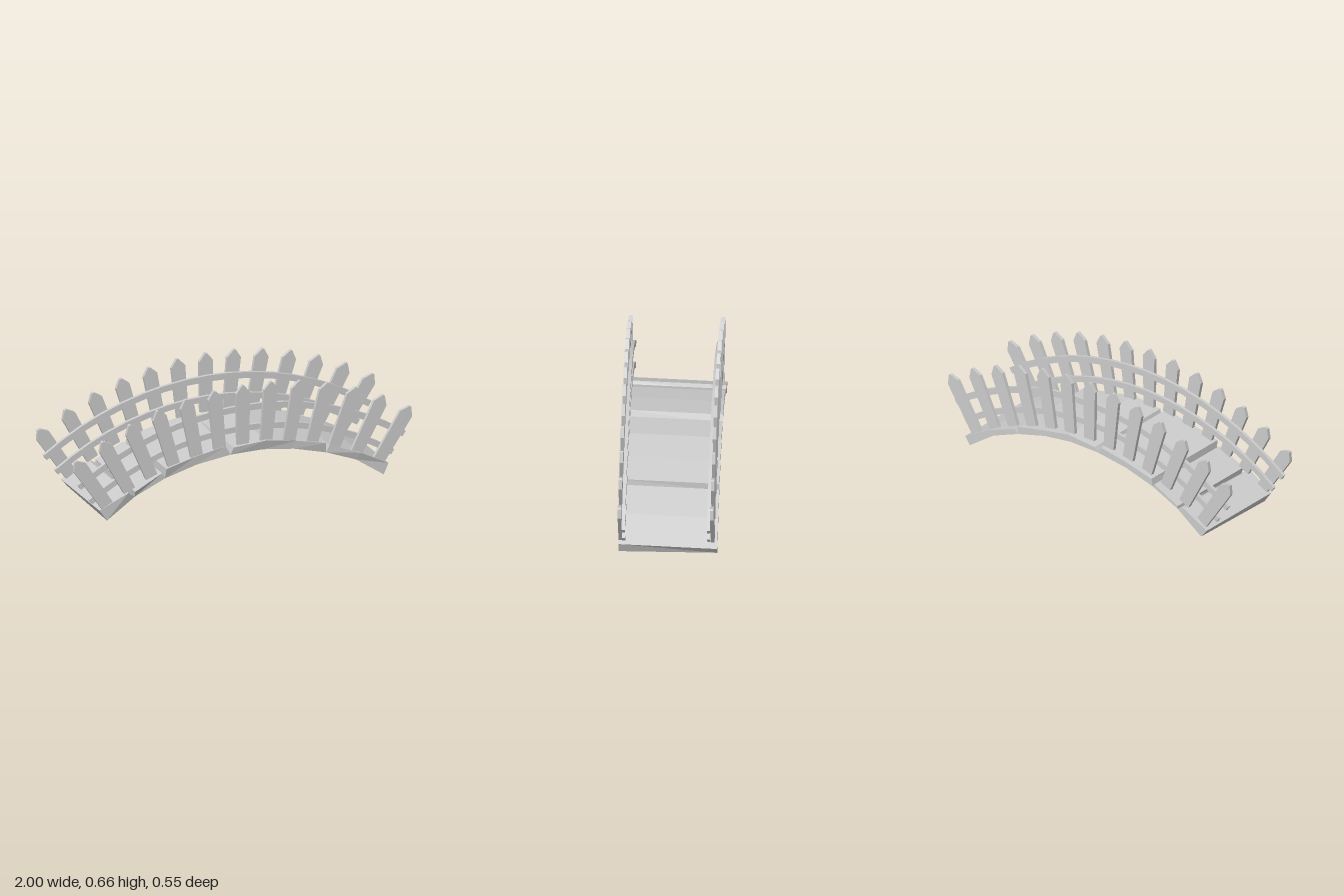
import * as THREE from 'three';

const mat = new THREE.MeshStandardMaterial({ color: 0xcccccc, flatShading: true, side: THREE.DoubleSide });
const CY = -1.14; // height of the centre of the bridge's arc

// Slab lofted along x. Station: [bottom x, bottom y, top x, top y, front z of the top edge]
function slab(stations) {
  const rings = stations.map(([bx, by, tx, ty, z]) => [
    [bx, by, 0.26], [tx, ty, z], [tx + 0.006, ty - 0.017, -0.275], [bx, by, -0.275],
  ]);
  const pos = [];
  const quad = (a, b, c, d) => pos.push(...a, ...b, ...c, ...a, ...c, ...d);
  for (let i = 0; i < rings.length - 1; i++) {
    const a = rings[i], b = rings[i + 1];
    for (let k = 0; k < 4; k++) quad(a[k], b[k], b[(k + 1) % 4], a[(k + 1) % 4]);
  }
  quad(...rings[0]);
  quad(...rings[rings.length - 1].slice().reverse());
  const g = new THREE.BufferGeometry();
  g.setAttribute('position', new THREE.Float32BufferAttribute(pos, 3));
  g.computeVertexNormals();
  return g;
}

// Pointed picket, drawn upright with y measured from the arc's centre
function picketGeometry(tip) {
  const s = new THREE.Shape([
    [-0.035, 1.455], [0.035, 1.455], [0.041, tip - 0.045], [0.006, tip], [-0.006, tip], [-0.041, tip - 0.045],
  ].map(([x, y]) => new THREE.Vector2(x, y)));
  return new THREE.ExtrudeGeometry(s, { depth: 0.02, bevelEnabled: false });
}

// Curved rail between two radii
function railGeometry(r0, r1, half) {
  const n = 16, pts = [];
  const at = (r, a) => pts.push(new THREE.Vector2(r * Math.sin(a), r * Math.cos(a)));
  for (let i = 0; i <= n; i++) at(r1, -half + (2 * half * i) / n);
  for (let i = n; i >= 0; i--) at(r0, -half + (2 * half * i) / n);
  return new THREE.ExtrudeGeometry(new THREE.Shape(pts), { depth: 0.018, bevelEnabled: false });
}

function add(parent, name, geometry) {
  const m = new THREE.Mesh(geometry, mat);
  m.name = name;
  parent.add(m);
  return m;
}

export function createModel() {
  const model = new THREE.Group();
  model.name = 'archedFootbridge';

  // Deck: five uneven slabs with wedge-shaped joints
  const deck = new THREE.Group();
  deck.name = 'deck';
  model.add(deck);
  const slabs = [
    [[-0.805, 0, -0.85, 0.065, 0.26], [-0.64, 0.113, -0.685, 0.147, 0.275]],
    [[-0.64, 0.113, -0.645, 0.147, 0.275], [-0.463, 0.19, -0.48, 0.224, 0.262]],
    [[-0.463, 0.19, -0.46, 0.25, 0.275], [-0.275, 0.24, -0.285, 0.29, 0.266], [-0.075, 0.265, -0.105, 0.32, 0.262]],
    [[-0.075, 0.265, -0.06, 0.307, 0.268], [0.115, 0.265, 0.13, 0.32, 0.275],
      [0.3, 0.238, 0.31, 0.285, 0.265], [0.49, 0.185, 0.485, 0.245, 0.272]],
    [[0.49, 0.185, 0.51, 0.225, 0.262], [0.665, 0.115, 0.69, 0.155, 0.275], [0.83, 0, 0.858, 0.062, 0.26]],
  ];
  slabs.forEach((s) => add(deck, 'deckSlab', slab(s)));

  // Fences: pickets fanned along the arc, with two rails on the inner face
  for (const side of [1, -1]) {
    const fence = new THREE.Group();
    fence.name = side > 0 ? 'frontFence' : 'backFence';
    fence.position.y = CY;
    model.add(fence);
    for (let i = -6; i <= 6; i++) {
      const p = add(fence, 'picket', picketGeometry(1.797 + 0.0015 * Math.abs(i)));
      p.rotation.z = -(0.094 * i + 0.00007 * i ** 3);
      p.position.z = side * 0.25 - 0.01;
    }
    for (const [name, r0, r1] of [['lowerRail', 1.522, 1.555], ['upperRail', 1.638, 1.673]]) {
      add(fence, name, railGeometry(r0, r1, 0.618)).position.z = side * 0.231 - 0.009;
    }
  }
  return model;
}
